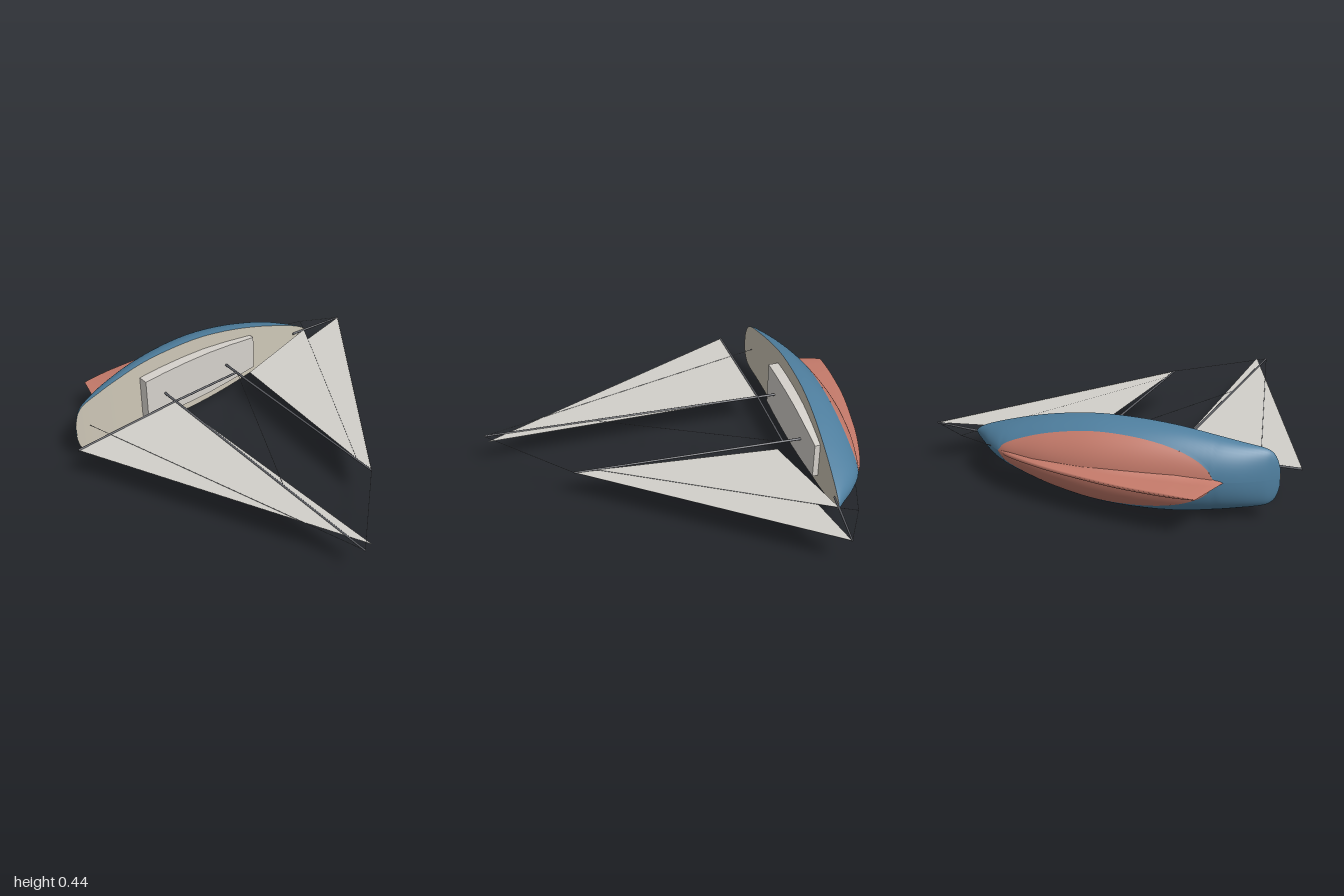
import * as THREE from 'three';

const MID = 0.22; // beam centre line; the boat's own "up" runs along +z
const V = (x, z, y = 0) => new THREE.Vector3(x, MID + y, z);
const mat = (color) => new THREE.MeshStandardMaterial({ color, side: THREE.DoubleSide });
const blue = mat(0x4f7f9f), red = mat(0xc47a6a), deckTan = mat(0xcfc8b8);
const sailGrey = mat(0xd2d0ca), cabinGrey = mat(0xd6d2cc), spar = mat(0x5c5e64);

// Surface through a grid of points: u steps along the boat, v steps around it
function loft(nu, nv, point) {
  const pos = [], idx = [];
  for (let i = 0; i <= nu; i++)
    for (let j = 0; j <= nv; j++) pos.push(...point(i / nu, j / nv).toArray());
  for (let i = 0; i < nu; i++)
    for (let j = 0; j < nv; j++) {
      const a = i * (nv + 1) + j, b = a + nv + 1;
      idx.push(a, b, a + 1, b, b + 1, a + 1);
    }
  const g = new THREE.BufferGeometry();
  g.setAttribute('position', new THREE.Float32BufferAttribute(pos, 3));
  g.setIndex(idx);
  g.computeVertexNormals();
  return g;
}

const spline = (pts) => new THREE.CatmullRomCurve3(pts, false, 'catmullrom', 0.5);

// Hull stations: x, half beam, sheer height, bottom of the canoe body
const stations = [
  [-0.872, 0.04, -0.634, -0.64], [-0.86, 0.085, -0.637, -0.652], [-0.84, 0.12, -0.641, -0.672],
  [-0.8, 0.143, -0.648, -0.705], [-0.7, 0.162, -0.661, -0.762], [-0.58, 0.183, -0.672, -0.805],
  [-0.4, 0.21, -0.68, -0.845], [-0.2, 0.22, -0.678, -0.875], [0, 0.213, -0.671, -0.885],
  [0.2, 0.182, -0.657, -0.87], [0.36, 0.143, -0.642, -0.838], [0.48, 0.106, -0.63, -0.8],
  [0.57, 0.075, -0.62, -0.735], [0.64, 0.047, -0.612, -0.665], [0.685, 0.022, -0.607, -0.622],
  [0.705, 0, -0.604, -0.606],
];
const alongX = spline(stations.map((s) => new THREE.Vector3(s[0], 0, 0)));
const section = spline(stations.map((s) => new THREE.Vector3(s[1], s[2], s[3])));
const WATERLINE = -0.8;

// Point on the half-ellipse section; angle 0 is the left edge, PI the right
function hullPoint(t, angleAt) {
  const x = alongX.getPoint(t).x, s = section.getPoint(t);
  const depth = Math.max(s.y - s.z, 0.001);
  const waterAngle = Math.asin(Math.min(1, (s.y - WATERLINE) / depth));
  const a = angleAt(waterAngle);
  return V(x, s.y - depth * Math.sin(a), s.x * Math.cos(a));
}

export function createModel() {
  const boat = new THREE.Group();
  boat.name = 'sailboat';
  const add = (name, geometry, material) => {
    const m = new THREE.Mesh(geometry, material);
    m.name = name;
    boat.add(m);
    return m;
  };
  const rod = (name, a, b, r0, r1 = r0, sides = 8) => {
    const dir = b.clone().sub(a);
    const m = add(name, new THREE.CylinderGeometry(r1, r0, dir.length(), sides), spar);
    m.position.copy(a).lerp(b, 0.5);
    m.quaternion.setFromUnitVectors(new THREE.Vector3(0, 1, 0), dir.normalize());
  };

  // Hull: blue topsides, red below the waterline, flat deck
  add('leftTopside', loft(75, 12, (t, v) => hullPoint(t, (w) => v * w)), blue);
  add('rightTopside', loft(75, 12, (t, v) => hullPoint(t, (w) => Math.PI - w + v * w)), blue);
  const t0 = 4.8 / 15, t1 = 11.1 / 15;
  add('hullBottom', loft(50, 20, (t, v) =>
    hullPoint(t0 + (t1 - t0) * t, (w) => w + v * (Math.PI - 2 * w))), red);
  add('deck', loft(75, 2, (t, v) => hullPoint(t, () => Math.PI).lerp(hullPoint(t, () => 0), v)), deckTan);

  // Long keel, flared where it meets the hull
  const keelTop = spline([[-0.65, -0.765], [-0.4, -0.825], [-0.2, -0.86], [0, -0.872],
    [0.2, -0.856], [0.4, -0.81], [0.48, -0.78]].map((p) => V(...p)));
  const keelFoot = spline([[-0.58, -1], [-0.4, -0.998], [-0.2, -0.985], [0, -0.952],
    [0.2, -0.908], [0.4, -0.842], [0.49, -0.79]].map((p) => V(...p)));
  const profile = [[0, 0.045], [0.15, 0.022], [0.35, 0.012], [1, 0.009]];
  const ring = [...profile, ...profile.slice().reverse().map(([d, w]) => [d, -w])];
  add('keel', loft(48, ring.length - 1, (t, v) => {
    const [d, w] = ring[Math.round(v * (ring.length - 1))];
    const p = keelTop.getPoint(t).lerp(keelFoot.getPoint(t), d);
    p.y += w * Math.min(1, Math.sqrt(Math.max(0, Math.sin(Math.PI * t))) * 1.5);
    return p;
  }), red);

  // Cabin: extruded plan, its roof rising slightly towards the bow
  const plan = [[-0.425, 0.125], [-0.3, 0.132], [-0.15, 0.135], [0, 0.132], [0.15, 0.12], [0.32, 0.1]];
  const outline = [...plan.map(([x, y]) => [x, -y]), ...plan.slice().reverse()];
  const cabin = new THREE.ExtrudeGeometry(
    new THREE.Shape(outline.map(([x, y]) => new THREE.Vector2(x, y))), { depth: 0.06, bevelEnabled: false });
  const cp = cabin.attributes.position;
  for (let i = 0; i < cp.count; i++)
    if (cp.getZ(i) > 0.03) cp.setZ(i, 0.063 + (cp.getX(i) + 0.425) * 0.009);
  cabin.computeVertexNormals();
  add('cabin', cabin, cabinGrey).position.set(0, MID, -0.686);

  // Masts, booms and bowsprit
  const mainTop = V(-0.366, 1), foreTop = V(0.07, 0.6), spritTip = V(0.945, -0.575);
  rod('mainMast', V(-0.304, -0.67), mainTop, 0.007, 0.005);
  rod('foreMast', V(0.121, -0.66), foreTop, 0.007, 0.005);
  rod('mainBoom', V(-0.945, -0.506), V(-0.305, -0.524), 0.006);
  rod('foreBoom', V(-0.305, -0.524), V(0.118, -0.52), 0.006);
  rod('bowsprit', V(0.62, -0.614), spritTip, 0.007, 0.005);

  // Sails, each a thin flat triangle
  const sail = (name, corners, y) => add(name, (() => {
    const g = new THREE.BufferGeometry().setFromPoints(corners.map(([x, z]) => V(x, z, y)));
    g.setIndex([0, 1, 2]);
    g.computeVertexNormals();
    return g;
  })(), sailGrey);
  sail('mainsail', [[-0.945, -0.506], [-0.312, 0.99], [-0.31, -0.522]], 0);
  sail('staysail', [[0.17, -0.47], [0.08, 0.48], [0.7, -0.605]], 0.001);
  sail('jib', [[0.178, -0.42], [0.07, 0.6], [0.945, -0.575]], -0.001);

  // Standing rigging
  const striker = V(0.745, -0.69);
  const stays = [
    [V(-0.78, -0.65), mainTop], [mainTop, foreTop], [V(0.118, -0.52), V(-0.342, 0.4)],
    [foreTop, spritTip], [V(0.7, -0.605), V(0.08, 0.48)],
    [spritTip, striker], [striker, V(0.7, -0.6)], [striker, V(0.52, -0.765)],
  ];
  stays.forEach(([a, b], i) => rod('stay' + (i + 1), a, b, 0.0015, 0.0015, 5));

  return boat;
}
